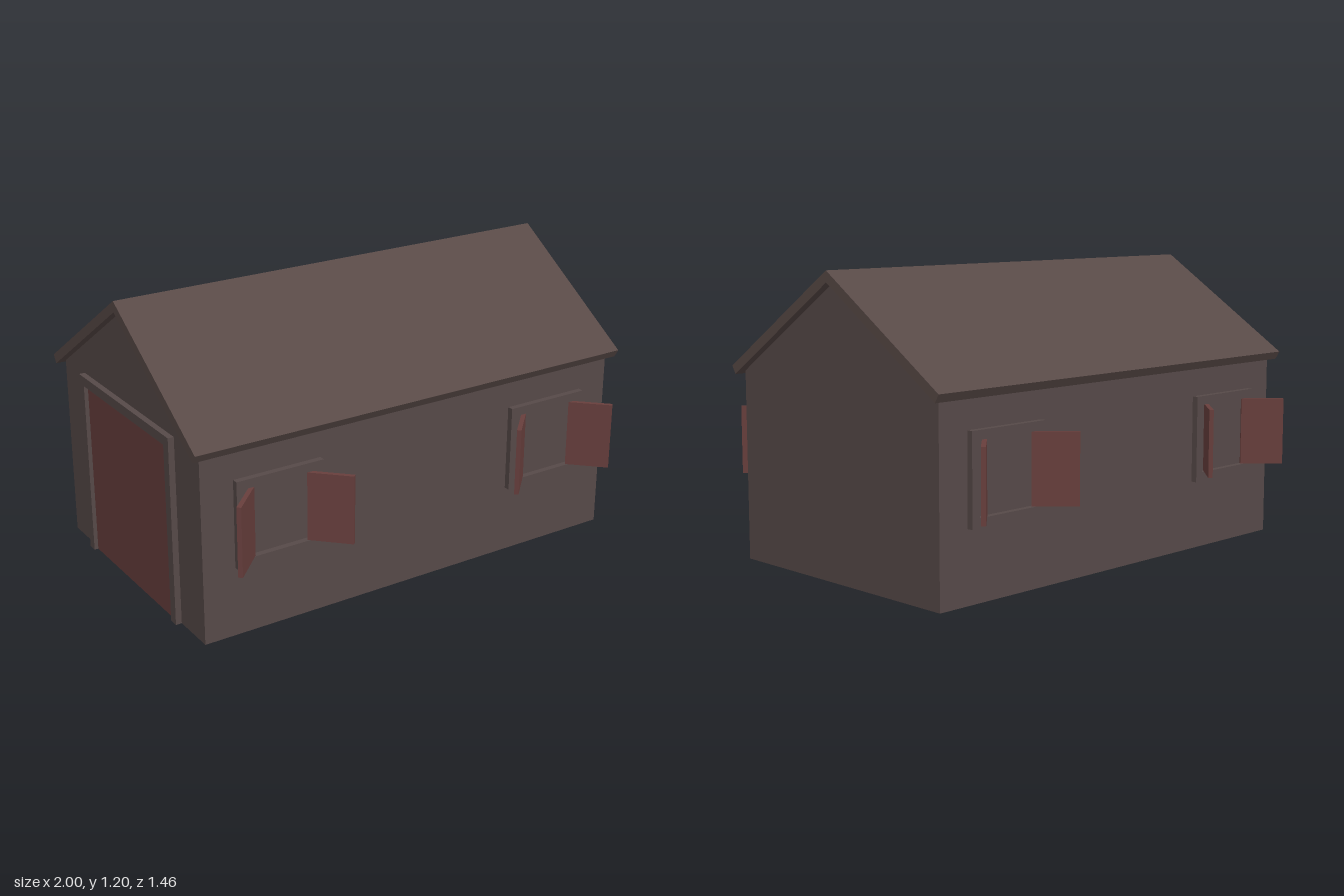
import * as THREE from 'three';

export function createModel() {
  const house = new THREE.Group();
  house.name = 'barn';

  const wallMat = new THREE.MeshStandardMaterial({ color: 0x564948, side: THREE.DoubleSide });
  wallMat.name = 'wall brown';
  const roofMat = new THREE.MeshStandardMaterial({ color: 0x584946 });
  roofMat.name = 'roof brown';
  const redMat = new THREE.MeshStandardMaterial({ color: 0x683f3d });
  redMat.name = 'shutter red';

  const add = (parent, name, geometry, material, x = 0, y = 0, z = 0) => {
    const mesh = new THREE.Mesh(geometry, material);
    mesh.name = name;
    mesh.position.set(x, y, z);
    parent.add(mesh);
    return mesh;
  };
  const polygon = (points) => new THREE.Shape(points.map(([x, y]) => new THREE.Vector2(x, y)));

  const halfX = 0.965, halfZ = 0.58, eave = 0.775, peak = 1.155;

  // Thin walls, open underneath
  const gable = polygon([[-halfZ, 0], [halfZ, 0], [halfZ, eave], [0, peak], [-halfZ, eave]]);
  for (const side of [1, -1]) {
    add(house, 'gableWall', new THREE.ShapeGeometry(gable), wallMat, side * halfX).rotation.y = side * Math.PI / 2;
    add(house, 'longWall', new THREE.PlaneGeometry(2 * halfX, eave), wallMat, 0, eave / 2, side * halfZ)
      .rotation.y = side > 0 ? 0 : Math.PI;
  }

  // Pitched roof slab
  const roofShape = polygon([[0, 1.2], [-0.62, 0.795], [-0.6, 0.762], [0, 1.155], [0.6, 0.762], [0.62, 0.795]]);
  const roof = new THREE.ExtrudeGeometry(roofShape, { depth: 2, bevelEnabled: false });
  roof.translate(0, 0, -1);
  roof.rotateY(Math.PI / 2);
  add(house, 'roof', roof, roofMat);

  // Window frame with a pair of open shutters, facing +z around its own centre
  const frameShape = polygon([[-0.188, -0.18], [0.188, -0.18], [0.188, 0.18], [-0.188, 0.18]]);
  frameShape.holes.push(polygon([[-0.15, -0.142], [-0.15, 0.142], [0.15, 0.142], [0.15, -0.142]]));
  const frameGeo = new THREE.ExtrudeGeometry(frameShape, { depth: 0.025, bevelEnabled: false });
  const shutterGeo = new THREE.BoxGeometry(0.18, 0.282, 0.018);

  const makeWindow = () => {
    const group = new THREE.Group();
    group.name = 'window';
    add(group, 'windowFrame', frameGeo, wallMat);
    for (const side of [1, -1]) {
      add(group, 'shutter', shutterGeo, redMat, side * 0.184, 0.003, 0.082).rotation.y = -side * Math.PI / 4;
    }
    return group;
  };
  for (const face of [1, -1]) {
    for (const x of [-0.64, 0.64]) {
      const unit = makeWindow();
      unit.position.set(x, 0.466, face * halfZ);
      unit.rotation.y = face > 0 ? 0 : Math.PI;
      house.add(unit);
    }
  }

  // Large door with posts and lintel on the right gable
  const door = new THREE.Group();
  door.name = 'door';
  add(door, 'doorPanel', new THREE.BoxGeometry(0.008, 0.74, 0.7), redMat, -halfX - 0.004, 0.37, 0);
  for (const side of [1, -1]) {
    add(door, 'doorPost', new THREE.BoxGeometry(0.025, 0.78, 0.04), wallMat, -halfX - 0.0125, 0.39, side * 0.37);
  }
  add(door, 'doorLintel', new THREE.BoxGeometry(0.025, 0.04, 0.7), wallMat, -halfX - 0.0125, 0.76, 0);
  house.add(door);

  return house;
}
